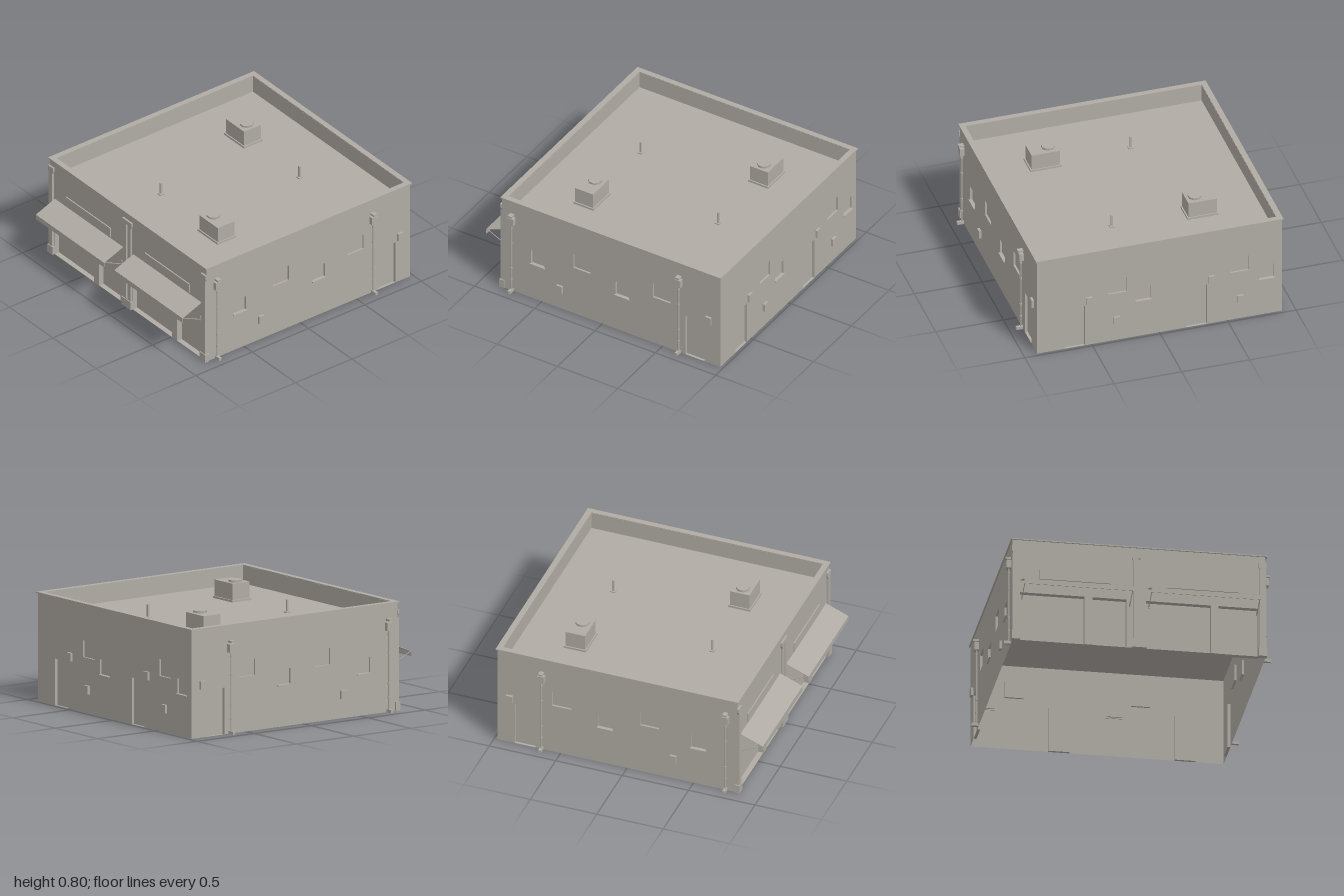
import * as THREE from 'three';

const stone = new THREE.MeshStandardMaterial({ color: 0xb0aba4, side: THREE.DoubleSide });
stone.name = 'warm grey';

const X = 0.902, FRONT = 0.83, BACK = 0.977, TOP = 0.778, ROOF = 0.65;

function add(parent, name, geometry, x = 0, y = 0, z = 0) {
  const mesh = new THREE.Mesh(geometry, stone);
  mesh.name = name;
  mesh.position.set(x, y, z);
  parent.add(mesh);
  return mesh;
}

// Box given by its limits on each axis
function block(parent, name, x0, x1, y0, y1, z0, z1) {
  return add(parent, name, new THREE.BoxGeometry(x1 - x0, y1 - y0, z1 - z0),
    (x0 + x1) / 2, (y0 + y1) / 2, (z0 + z1) / 2);
}

// Thin rod between two points
function rod(parent, name, a, b, r, sides = 6) {
  const from = new THREE.Vector3(...a), to = new THREE.Vector3(...b);
  const mesh = add(parent, name, new THREE.CylinderGeometry(r, r, from.distanceTo(to), sides));
  mesh.position.copy(from).lerp(to, 0.5);
  mesh.quaternion.setFromUnitVectors(new THREE.Vector3(0, 1, 0), to.sub(from).normalize());
  return mesh;
}

function polygon(points, Type = THREE.Shape) {
  return new Type(points.map(p => new THREE.Vector2(...p)));
}
const rect = (x0, x1, y0, y1) => [[x0, y0], [x1, y0], [x1, y1], [x0, y1]];

// Wall facing +z with recessed openings [name, u0, u1, y0, y1, depth]
function wall(name, u0, u1, openings) {
  const group = new THREE.Group();
  group.name = name;
  const shape = polygon(rect(u0, u1, 0, TOP));
  for (const [part, a, b, y0, y1, depth] of openings) {
    shape.holes.push(polygon(rect(a, b, Math.max(y0, 0.001), y1), THREE.Path));
    const niche = block(group, part, a, b, y0, y1, -depth, 0);
    // drop the outward face so the niche is open
    niche.geometry.setIndex([...niche.geometry.index.array].filter((_, i) => i < 24 || i >= 30));
    niche.geometry.clearGroups();
    if (part === 'lowWindow') block(group, 'windowSill', a - 0.005, b + 0.005, y0 - 0.008, y0, -0.005, 0.012);
  }
  add(group, 'wallSurface', new THREE.ShapeGeometry(shape));
  return group;
}

const high = (a, b) => ['highWindow', a, b, 0.395, 0.515, 0.015];
const low = (a, b) => ['lowWindow', a, b, 0.3, 0.41, 0.015];
const door = (a, b) => ['serviceDoor', a, b, 0, 0.335, 0.02];

function vents(group, list) {
  for (const [u, y] of list) block(group, 'ventBox', u - 0.023, u + 0.023, y, y + 0.06, 0, 0.018);
}

// Rainwater pipe with hopper, couplings and spout
function downpipe(group, u) {
  const pipe = new THREE.Group();
  pipe.name = 'downpipe';
  pipe.position.x = u;
  group.add(pipe);
  rod(pipe, 'pipe', [0, 0.015, 0.014], [0, 0.59, 0.014], 0.006, 8);
  for (const y of [0.1, 0.2, 0.42, 0.55]) rod(pipe, 'coupling', [0, y, 0.014], [0, y + 0.012, 0.014], 0.009, 8);
  block(pipe, 'hopper', -0.025, 0.025, 0.585, 0.645, 0, 0.033);
  block(pipe, 'scupper', -0.016, 0.016, 0.655, 0.67, 0, 0.04);
  block(pipe, 'spout', -0.011, 0.011, 0, 0.022, 0, 0.05);
}

// Side wall; s turns model z into the wall's own direction
function sideWall(name, s) {
  const span = (make, a, b) => make(Math.min(s * a, s * b), Math.max(s * a, s * b));
  const g = wall(name, Math.min(s * FRONT, -s * BACK), Math.max(s * FRONT, -s * BACK), [
    span(low, 0.48, 0.59), span(high, 0.1, 0.24), span(low, -0.22, -0.11),
    span(high, -0.565, -0.42), span(door, -0.845, -0.69)]);
  vents(g, [[s * 0.35, 0.14], [s * -0.883, 0.345]]);
  for (const z of [0.745, -0.64]) downpipe(g, s * z);
  g.position.x = -s * X;
  g.rotation.y = -s * Math.PI / 2;
  return g;
}

// Pilaster with a flared head and a plinth, optionally slotted
function pilaster(parent, x, w, slotted) {
  const n = w - 0.009;
  const shape = polygon([[-n, 0.05], [n, 0.05], [n, 0.67], [w, 0.695], [w, 0.722], [-w, 0.722], [-w, 0.695], [-n, 0.67]]);
  if (slotted) shape.holes.push(polygon(rect(-0.008, 0.008, 0.07, 0.69), THREE.Path));
  add(parent, 'pilaster', new THREE.ExtrudeGeometry(shape, { depth: 0.014, bevelEnabled: false }), x, 0, FRONT);
  block(parent, 'pilasterPlinth', x - w, x + w, 0, 0.065, FRONT - 0.02, FRONT + 0.02);
}

function awning(parent, x0, x1) {
  const g = new THREE.Group();
  g.name = 'awning';
  parent.add(g);
  const run = 0.998 - FRONT, drop = 0.066;
  const sheet = add(g, 'awningSheet', new THREE.BoxGeometry(x1 - x0, 0.004, Math.hypot(run, drop)),
    (x0 + x1) / 2, 0.432, FRONT + run / 2);
  sheet.rotation.x = Math.atan2(drop, run);
  block(g, 'awningValance', x0, x1, 0.362, 0.4, 0.996, 1);
  for (const x of [x0 + 0.008, x1 - 0.008]) {
    rod(g, 'awningStrut', [x, 0.32, FRONT], [x, 0.397, 0.996], 0.003);
    block(g, 'strutBracket', x - 0.004, x + 0.004, 0.315, 0.35, FRONT, FRONT + 0.008);
  }
}

// Rooftop cooling unit on a flanged curb
function roofUnit(parent, x, z, fanX) {
  const g = new THREE.Group();
  g.name = 'roofUnit';
  parent.add(g);
  block(g, 'unitFlange', x - 0.115, x + 0.115, ROOF, ROOF + 0.015, z - 0.083, z + 0.083);
  block(g, 'unitBody', x - 0.105, x + 0.105, ROOF + 0.015, 0.782, z - 0.074, z + 0.074);
  add(g, 'unitFan', new THREE.CylinderGeometry(0.05, 0.05, 0.016, 8).rotateY(Math.PI / 8), fanX, 0.789, z);
}

export function createModel() {
  const model = new THREE.Group();
  model.name = 'shopBuilding';

  // Front with recessed shop windows and entrances
  const bay = (a, b) => ['shopBay', a, b, 0, 0.37, 0.04];
  const front = wall('frontWall', -X, X, [bay(-0.85, -0.39), bay(-0.335, -0.09), bay(0.05, 0.51), bay(0.565, 0.85)]);
  front.position.z = FRONT;
  model.add(front);
  pilaster(model, 0, 0.053, true);
  for (const s of [-1, 1]) {
    pilaster(model, s * 0.88, 0.03, false);
    block(model, 'signPanel', s * 0.455 - 0.255, s * 0.455 + 0.255, 0.48, 0.553, FRONT, FRONT + 0.009);
  }
  for (const x of [-0.3625, 0.5375]) block(model, 'bayPier', x - 0.0275, x + 0.0275, 0, 0.37, FRONT - 0.04, FRONT + 0.004);
  awning(model, -0.845, -0.06);
  awning(model, 0.06, 0.845);

  // Sides
  model.add(sideWall('leftWall', -1), sideWall('rightWall', 1));

  // Back, measured along -x
  const back = wall('backWall', -X, X, [
    door(-0.7, -0.55), high(-0.375, -0.24), low(-0.175, -0.065),
    door(0.2, 0.35), high(0.525, 0.66), low(0.735, 0.845)]);
  vents(back, [[-0.52, 0.345], [-0.317, 0.14], [0.383, 0.345], [0.593, 0.14]]);
  back.position.z = -BACK;
  back.rotation.y = Math.PI;
  model.add(back);

  // Roof deck, inner parapet faces and coping
  block(model, 'roofDeck', -X + 0.003, X - 0.003, ROOF - 0.006, ROOF, -BACK + 0.003, FRONT - 0.003);
  const ix = 0.87, iz0 = -0.945, iz1 = 0.797;
  for (const s of [-1, 1]) block(model, 'parapetSide', s * ix - 0.001, s * ix + 0.001, ROOF, TOP, iz0, iz1);
  for (const z of [iz0, iz1]) block(model, 'parapetEnd', -ix, ix, ROOF, TOP, z - 0.001, z + 0.001);
  const ring = polygon(rect(-0.912, 0.912, -0.84, 0.987));
  ring.holes.push(polygon(rect(-ix, ix, -iz1, -iz0), THREE.Path));
  add(model, 'coping', new THREE.ExtrudeGeometry(ring, { depth: 0.009, bevelEnabled: false }).rotateX(-Math.PI / 2), 0, 0.774, 0);

  // Rooftop equipment
  roofUnit(model, -0.437, -0.528, -0.4);
  roofUnit(model, 0.435, 0.377, 0.395);
  for (const [x, z] of [[0.21, -0.528], [-0.213, 0.377]]) {
    block(model, 'roofPipeBase', x - 0.018, x + 0.018, ROOF, ROOF + 0.008, z - 0.018, z + 0.018);
    block(model, 'roofPipe', x - 0.007, x + 0.007, ROOF, ROOF + 0.095, z - 0.007, z + 0.007);
  }
  return model;
}
